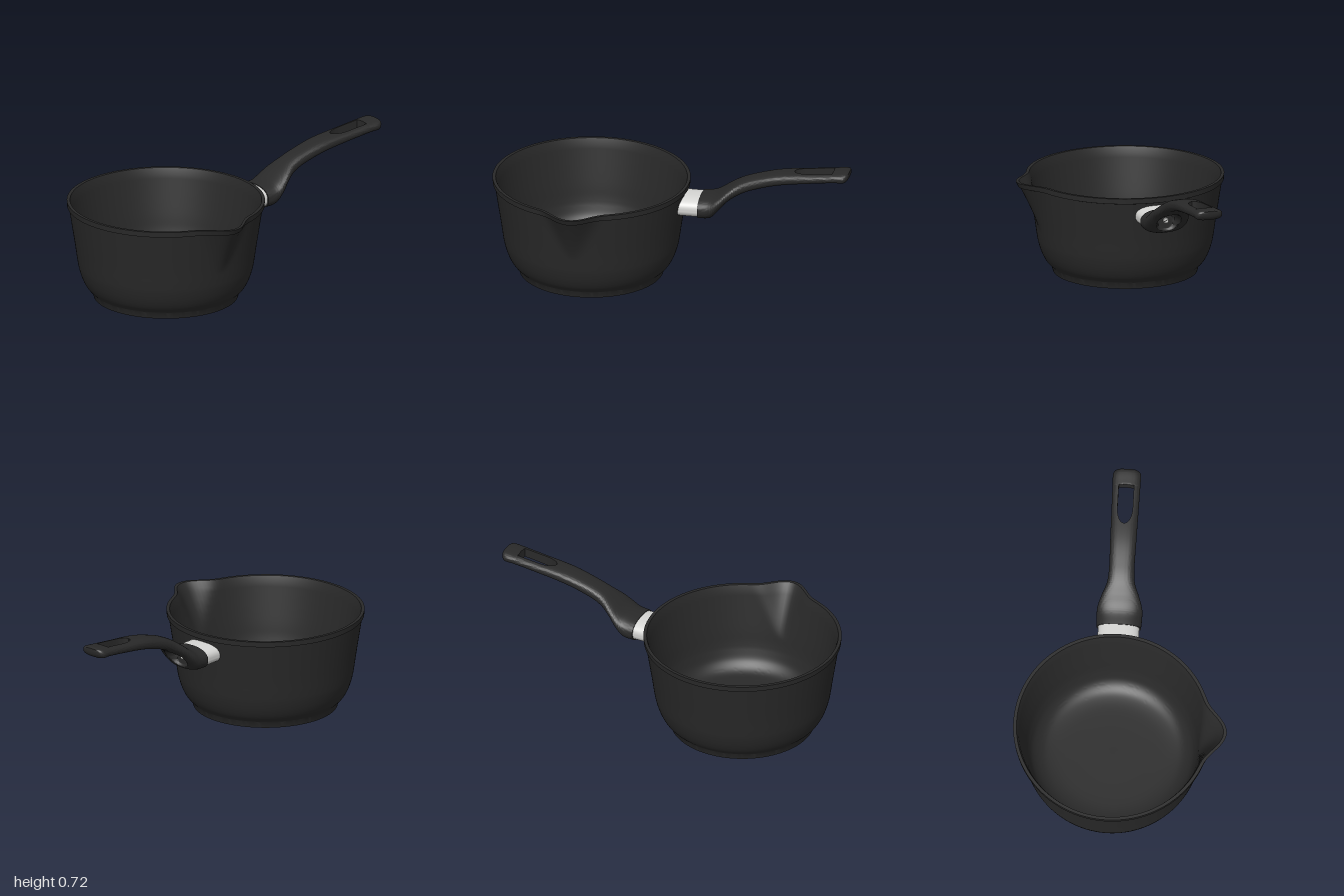
import * as THREE from 'three';
import { toCreasedNormals } from 'three/addons/utils/BufferGeometryUtils.js';

const mat = (name, color) => {
  const m = new THREE.MeshStandardMaterial({ color });
  m.name = name;
  return m;
};
const V2 = (p) => new THREE.Vector2(p[0], p[1]);
const smooth = (pts, n) => new THREE.SplineCurve(pts.map(V2)).getPoints(n);
const step = THREE.MathUtils.smoothstep;

// Smooth interpolation of rows [x, a, b, c...] at a given x
function sample(keys, x) {
  let i = 0;
  while (i < keys.length - 2 && x > keys[i + 1][0]) i++;
  const p = keys[i], q = keys[i + 1], o = keys[i - 1] || p, r = keys[i + 2] || q;
  const d = q[0] - p[0], t = (x - p[0]) / d;
  return p.slice(1).map((a, k) => {
    const b = q[k + 1];
    const m0 = (b - o[k + 1]) / (q[0] - o[0]) * d;
    const m1 = (r[k + 1] - a) / (r[0] - p[0]) * d;
    return (2 * t ** 3 - 3 * t * t + 1) * a + (t ** 3 - 2 * t * t + t) * m0
      + (3 * t * t - 2 * t ** 3) * b + (t ** 3 - t * t) * m1;
  });
}

// Loft of rounded sections along x, made of two mirrored halves.
// keys: [x, top, bottom, half width, squareness]; gap(x): half width of a central slot
function loft(xs, keys, bend, gap = () => 0) {
  const pos = [], idx = [], steps = 32, ring = steps + 1;
  for (const side of [1, -1]) {
    const base = pos.length / 3;
    const tri = (a, b, c) => (side > 0 ? idx.push(a, b, c) : idx.push(a, c, b));
    xs.forEach((x) => {
      const [top, bottom, w, power] = sample(keys, x);
      const e = 2 / power, a0 = Math.acos((gap(x) / w) ** (power / 2));
      for (let j = 0; j <= steps; j++) {
        const a = a0 * (1 - 2 * j / steps), s = Math.sin(a);
        const p = new THREE.Vector3(x,
          (top + bottom) / 2 + (top - bottom) / 2 * Math.sign(s) * Math.abs(s) ** e,
          w * Math.max(0, Math.cos(a)) ** e);
        bend(p, s);
        pos.push(p.x, p.y, p.z * side);
      }
    });
    for (let i = 0; i < xs.length - 1; i++) {
      const slot = gap(xs[i]) > 0 || gap(xs[i + 1]) > 0;
      for (let j = 0; j < (slot ? ring : steps); j++) {
        const a = base + i * ring + j, b = base + i * ring + (j + 1) % ring;
        tri(a, b, a + ring);
        tri(b, b + ring, a + ring);
      }
    }
    // end caps
    [0, xs.length - 1].forEach((i) => {
      const [top, bottom] = sample(keys, xs[i]);
      const c = pos.length / 3, r = base + i * ring;
      pos.push(xs[i], (top + bottom) / 2, 0);
      for (let j = 0; j < steps; j++) i ? tri(c, r + j, r + j + 1) : tri(c, r + j + 1, r + j);
    });
  }
  const g = new THREE.BufferGeometry();
  g.setAttribute('position', new THREE.Float32BufferAttribute(pos, 3));
  g.setIndex(idx);
  return toCreasedNormals(g, 0.7);
}

export function createModel() {
  const black = mat('matte black', 0x292929);
  const steel = mat('brushed steel', 0xd6d6d4);
  const grey = mat('base grey', 0xc4c4c4);
  const bronze = mat('base bronze', 0xa69c8a);
  const group = new THREE.Group();
  const Z = -0.042, POT_X = -0.455;
  const add = (name, geo, material, x, y, z) => {
    const m = new THREE.Mesh(geo, material);
    m.name = name;
    m.position.set(x, y, z);
    group.add(m);
    return m;
  };

  // Pot: turned wall, lip and inside, with the pouring spout pulled out at the front
  const profile = [
    V2([0.398, 0]), V2([0.408, 0.034]),
    ...smooth([[0.409, 0.037], [0.44, 0.07], [0.463, 0.115], [0.48, 0.17], [0.489, 0.22], [0.502, 0.31], [0.535, 0.522]], 42),
    V2([0.544, 0.525]), V2([0.546, 0.555]), V2([0.528, 0.555]),
    ...smooth([[0.517, 0.52], [0.483, 0.31], [0.47, 0.22], [0.459, 0.17], [0.438, 0.115], [0.395, 0.075], [0.33, 0.059], [0.2, 0.055], [0, 0.055]], 48),
  ];
  const pot = new THREE.LatheGeometry(profile, 180);
  const p = pot.attributes.position;
  for (let i = 0; i < p.count; i++) {
    const x = p.getX(i), y = p.getY(i), z = p.getZ(i);
    const t = (y - 0.265) / 0.29, r = Math.hypot(x, z), a = Math.abs(Math.atan2(x, z));
    const half = 0.1 + 0.32 * t;
    if (t <= 0 || a >= half) continue;
    const bump = ((1 + Math.cos(Math.PI * a / half)) / 2) ** 1.6;
    const k = 1 + 0.086 * t ** 1.3 * bump / r;
    p.setXYZ(i, x * k, y, z * k);
  }
  add('pot', toCreasedNormals(pot, 0.5), black, POT_X, 0, Z);

  // Underside: grey plate around a shallow bronze recess
  const DEPTH = 0.012;
  add('basePlate', new THREE.RingGeometry(0.125, 0.398, 96).rotateX(Math.PI / 2), grey, POT_X, 0, Z);
  const recess = new THREE.LatheGeometry([[0, DEPTH], [0.125, DEPTH], [0.125, 0]].map(V2), 96);
  add('baseRecess', toCreasedNormals(recess, 0.5), bronze, POT_X, 0, Z);

  // Steel collar, its inner end following the curve and slope of the pot wall
  const hugWall = (v) => {
    if (v.x < 0.1) v.x -= 0.51 - Math.sqrt(0.26 - v.z * v.z) + 0.17 * (0.508 - v.y);
  };
  const collarKeys = [[0.068, 0.508, 0.392, 0.114, 2.5], [0.18, 0.508, 0.392, 0.114, 2.5]];
  add('collar', loft([0.068, 0.12, 0.18], collarKeys, hugWall), steel, 0, 0, Z);

  // Handle with a hanging slot, a screw well and a shallow groove underneath
  const handleKeys = [
    [0.165, 0.512, 0.386, 0.123, 2.4], [0.23, 0.522, 0.394, 0.126, 2.3], [0.27, 0.54, 0.436, 0.123, 2.3],
    [0.32, 0.575, 0.493, 0.104, 2.4], [0.38, 0.613, 0.535, 0.078, 2.6], [0.45, 0.642, 0.568, 0.07, 2.7],
    [0.6, 0.682, 0.613, 0.072, 2.7], [0.8, 0.705, 0.646, 0.075, 2.7], [0.93, 0.719, 0.663, 0.077, 2.8],
    [0.975, 0.724, 0.665, 0.077, 2.8], [0.993, 0.724, 0.677, 0.065, 2.8], [1, 0.72, 0.69, 0.048, 2.8],
  ];
  const xs = [];
  const span = (a, b, n) => { for (let i = 0; i < n; i++) xs.push(a + (b - a) * i / n); };
  span(0.165, 0.23, 6);
  span(0.23, 0.42, 90);
  span(0.42, 0.69, 18);
  span(0.69, 0.908, 28);
  span(0.908, 0.912, 1);
  span(0.912, 0.975, 6);
  span(0.975, 1, 8);
  xs.push(1);
  const slot = (x) => {
    if (x <= 0.69 || x > 0.91) return 0;
    const t = Math.min(1, (x - 0.69) / 0.09);
    return 0.042 * Math.sqrt(1 - (1 - t) ** 2);
  };
  const hollow = (v, s) => {
    if (s >= 0) return;
    const along = step(v.x, 0.38, 0.48) * (1 - step(v.x, 0.6, 0.69));
    const well = v.x > 0.235 && v.x < 0.42
      ? 1 - step(Math.hypot(v.y - 0.465, v.z), 0.047, 0.068) : 0;
    v.y += 0.016 * along * (1 - step(v.z, 0.015, 0.05));
    v.x += (0.235 - v.x) * well;
  };
  add('handle', loft(xs, handleKeys, hollow, slot), black, 0, 0, Z);

  // Slotted screw head in the well
  const screw = new THREE.CylinderGeometry(0.015, 0.015, 0.016, 24).rotateZ(-Math.PI / 2);
  add('screw', screw, steel, 0.236, 0.465, Z);
  const slit = add('screwSlot', new THREE.BoxGeometry(0.002, 0.003, 0.025), black, 0.2441, 0.465, Z);
  slit.rotation.x = 0.5;

  return group;
}
